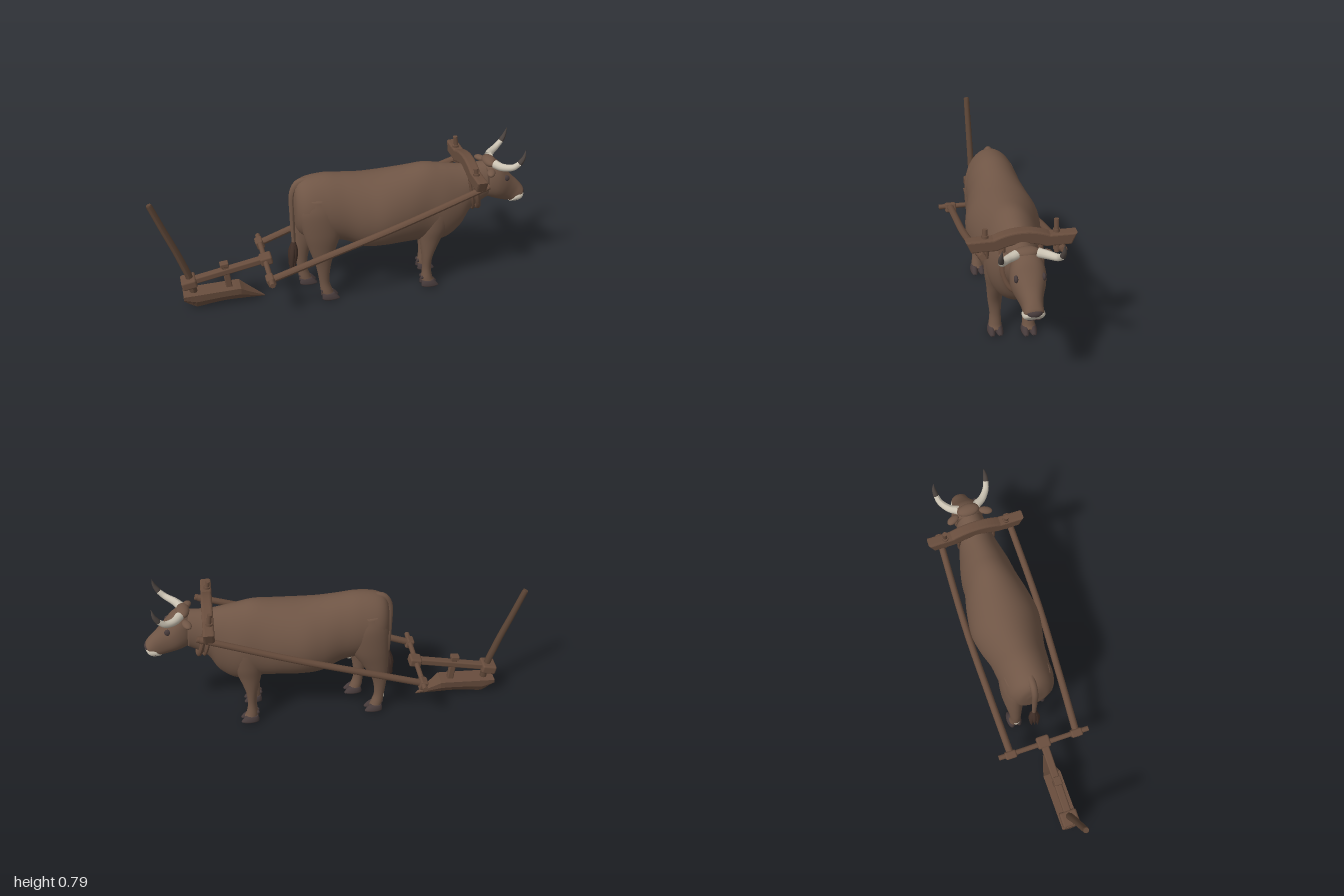
import * as THREE from 'three';
import { RoundedBoxGeometry } from 'three/addons/geometries/RoundedBoxGeometry.js';

const mat = (name, color, double) => {
  const m = new THREE.MeshStandardMaterial({ color });
  m.name = name;
  if (double) m.side = THREE.DoubleSide;
  return m;
};
const V = (x, y, z) => new THREE.Vector3(x, y, z);

// Smooth skin through oval sections [frontX, frontY, backX, backY, halfWidth, centreZ]; egg narrows the front side
function loft(sections, steps = 6, sides = 28, power = 1, egg = 0) {
  const a = new THREE.CatmullRomCurve3(sections.map(s => V(s[0], s[1], s[4])), false, 'catmullrom', 0.5);
  const b = new THREE.CatmullRomCurve3(sections.map(s => V(s[2], s[3], s[5] || 0)), false, 'catmullrom', 0.5);
  const rows = (sections.length - 1) * steps, pos = [], idx = [];
  const bulge = v => Math.sign(v) * Math.abs(v) ** power;
  for (let i = 0; i <= rows; i++) {
    const p = a.getPoint(i / rows), q = b.getPoint(i / rows);
    for (let j = 0; j < sides; j++) {
      const t = j / sides * Math.PI * 2, c = bulge(Math.cos(t)), s = bulge(Math.sin(t)) * (1 - egg * Math.cos(t));
      pos.push((p.x + q.x) / 2 + (p.x - q.x) / 2 * c, (p.y + q.y) / 2 + (p.y - q.y) / 2 * c, q.z + p.z * s);
    }
  }
  for (let i = 0; i < rows; i++) for (let j = 0; j < sides; j++) {
    const k = (j + 1) % sides, r = i * sides, n = r + sides;
    idx.push(r + j, r + k, n + j, r + k, n + k, n + j);
  }
  for (const [i, flip] of [[0, true], [rows, false]]) {
    const r = i * sides;
    for (let j = 1; j < sides - 1; j++) idx.push(r, r + (flip ? j + 1 : j), r + (flip ? j : j + 1));
  }
  const g = new THREE.BufferGeometry();
  g.setAttribute('position', new THREE.Float32BufferAttribute(pos, 3));
  g.setIndex(idx);
  g.computeVertexNormals();
  return g;
}

// Tube along points whose radius follows a function of 0..1
function taperTube(points, radius, segs = 24, sides = 12) {
  const curve = new THREE.CatmullRomCurve3(points.map(p => V(...p)));
  const g = new THREE.TubeGeometry(curve, segs, 1, sides);
  const p = g.attributes.position, v = V(0, 0, 0);
  for (let i = 0; i < p.count; i++) {
    const t = Math.floor(i / (sides + 1)) / segs, c = curve.getPointAt(t);
    v.fromBufferAttribute(p, i).sub(c).multiplyScalar(radius(t)).add(c);
    p.setXYZ(i, v.x, v.y, v.z);
  }
  g.computeVertexNormals();
  return g;
}

export function createModel() {
  const root = new THREE.Group();
  const hide = mat('brown hide', 0x705646), wood = mat('dark wood', 0x684d3d, true);
  const oldWood = mat('weathered wood', 0x5b4435, true), pale = mat('pale muzzle and horn', 0xcac2b2, true);
  const dark = mat('dark hoof and nose', 0x473b3b, true), tipMat = mat('horn tip', 0x4a423e, true);
  const hair = mat('tail hair', 0x412f27, true);

  const ox = new THREE.Group(), plough = new THREE.Group(), harness = new THREE.Group();
  ox.name = 'ox'; plough.name = 'plough'; harness.name = 'harness';
  root.add(ox, plough, harness);
  const add = (parent, name, geo, material) => {
    const m = new THREE.Mesh(geo, material);
    m.name = name;
    parent.add(m);
    return m;
  };
  const ball = (parent, name, material, p, s) => {
    const m = add(parent, name, new THREE.SphereGeometry(1, 18, 12), material);
    m.position.set(...p);
    m.scale.set(...s);
    return m;
  };
  const box = (parent, name, material, p, s, tilt = 0) => {
    const m = add(parent, name, new RoundedBoxGeometry(...s, 2, Math.min(...s) * 0.22), material);
    m.position.set(...p);
    m.rotation.z = tilt;
    return m;
  };
  const rod = (parent, name, material, a, b, r1, r2 = r1, sides = 12) => {
    const p = V(...a), q = V(...b), d = q.clone().sub(p);
    const m = add(parent, name, new THREE.CylinderGeometry(r2, r1, d.length(), sides), material);
    m.position.copy(p).add(q).multiplyScalar(0.5);
    m.quaternion.setFromUnitVectors(V(0, 1, 0), d.normalize());
    return m;
  };

  // Trunk and neck
  add(ox, 'body', loft([
    [-0.262, 0.60, -0.26, 0.52, 0.03], [-0.247, 0.665, -0.25, 0.42, 0.085], [-0.2, 0.70, -0.2, 0.37, 0.125],
    [-0.1, 0.713, -0.1, 0.345, 0.138], [0, 0.703, 0, 0.325, 0.148], [0.1, 0.692, 0.1, 0.28, 0.172],
    [0.2, 0.69, 0.2, 0.275, 0.187], [0.32, 0.70, 0.32, 0.275, 0.172], [0.43, 0.713, 0.43, 0.27, 0.147],
    [0.51, 0.702, 0.54, 0.26, 0.137], [0.58, 0.69, 0.63, 0.32, 0.116], [0.64, 0.68, 0.68, 0.41, 0.098],
    [0.70, 0.68, 0.73, 0.45, 0.084], [0.77, 0.685, 0.78, 0.48, 0.075],
  ], 6, 40, 1, 0.06), hide);

  // Head, muzzle and nose
  add(ox, 'head', loft([
    [0.755, 0.68, 0.745, 0.53, 0.05], [0.80, 0.70, 0.765, 0.495, 0.074], [0.845, 0.675, 0.80, 0.478, 0.083],
    [0.885, 0.63, 0.83, 0.466, 0.077], [0.925, 0.585, 0.865, 0.452, 0.06], [0.96, 0.55, 0.895, 0.442, 0.049],
    [0.982, 0.525, 0.925, 0.438, 0.047], [0.994, 0.505, 0.955, 0.44, 0.043], [0.995, 0.475, 0.98, 0.452, 0.015],
  ], 5, 32, 0.9), hide);
  add(ox, 'muzzle', loft([
    [0.955, 0.498, 0.915, 0.436, 0.049], [0.972, 0.502, 0.925, 0.434, 0.052], [0.988, 0.499, 0.95, 0.434, 0.051],
    [0.997, 0.486, 0.968, 0.441, 0.041], [0.997, 0.475, 0.982, 0.455, 0.012],
  ], 4, 28), pale);
  ball(ox, 'nose', dark, [0.979, 0.489, 0], [0.023, 0.022, 0.038]);
  add(ox, 'mouth', new THREE.TubeGeometry(new THREE.CatmullRomCurve3(
    [V(0.945, 0.458, 0.05), V(0.98, 0.452, 0.028), V(0.986, 0.456, 0), V(0.98, 0.452, -0.028), V(0.945, 0.458, -0.05)]), 20, 0.002, 6), dark);
  ball(ox, 'poll', hide, [0.79, 0.685, 0], [0.035, 0.025, 0.06]);

  for (const s of [1, -1]) {
    // Eyes, ears and horns
    ball(ox, 'eye', dark, [0.872, 0.602, s * 0.063], [0.017, 0.018, 0.01]);
    const ear = ball(ox, 'ear', hide, [0.772, 0.66, s * 0.09], [0.022, 0.015, 0.036]);
    ear.rotation.set(s * 0.1, s * -0.4, 0);
    add(ox, 'hornBase', taperTube([[0.805, 0.687, s * 0.05], [0.83, 0.686, s * 0.09], [0.875, 0.697, s * 0.126], [0.905, 0.722, s * 0.137]],
      t => 0.023 - 0.009 * t), pale);
    add(ox, 'hornTip', taperTube([[0.905, 0.722, s * 0.137], [0.923, 0.755, s * 0.14], [0.933, 0.797, s * 0.137]],
      t => 0.0005 + 0.0135 * (1 - t ** 1.6)), tipMat);

    // Legs, staggered in a slow walk
    const hindShift = s > 0 ? 0.088 : 0, foreShift = s > 0 ? -0.012 : 0.015;
    const leg = (name, shift, rows) => add(ox, name, loft(rows.map(([y, f, b, w, z]) => {
      const d = shift * Math.min(1, Math.max(0, (0.5 - y) / 0.3));
      return [f + d, y, b + d, y, w, s * z];
    }), 6, 24), hide);
    leg('hindLeg', hindShift, [[0.62, -0.06, -0.22, 0.04, 0.075], [0.54, -0.02, -0.245, 0.058, 0.08], [0.42, -0.05, -0.25, 0.056, 0.085],
      [0.32, -0.11, -0.25, 0.044, 0.086], [0.22, -0.165, -0.247, 0.031, 0.085], [0.12, -0.18, -0.235, 0.025, 0.083],
      [0.06, -0.165, -0.228, 0.03, 0.083], [0.035, -0.155, -0.22, 0.032, 0.083]]);
    leg('foreLeg', foreShift, [[0.56, 0.53, 0.43, 0.035, 0.085], [0.48, 0.57, 0.40, 0.055, 0.085], [0.38, 0.555, 0.40, 0.055, 0.085],
      [0.30, 0.525, 0.41, 0.045, 0.084], [0.2, 0.49, 0.428, 0.036, 0.084], [0.12, 0.483, 0.435, 0.029, 0.082],
      [0.06, 0.493, 0.432, 0.032, 0.083], [0.035, 0.505, 0.435, 0.034, 0.084]]);
    for (const [x, name] of [[-0.222 + hindShift, 'hindHoof'], [0.43 + foreShift, 'foreHoof']]) {
      for (const c of [-1, 1]) {
        add(ox, name, loft([[x + 0.066, 0.046, x + 0.004, 0.046, 0.016, s * 0.084 + c * 0.017],
          [x + 0.082, 0.03, x - 0.001, 0.03, 0.02, s * 0.084 + c * 0.019],
          [x + 0.096, 0.012, x - 0.002, 0.012, 0.021, s * 0.084 + c * 0.02]], 3, 16), dark);
        ball(ox, 'dewClaw', dark, [x + 0.003, 0.062, s * 0.084 + c * 0.012], [0.009, 0.011, 0.008]);
      }
    }
  }

  // Pale hind sock patch, belly sheath and tail
  ball(ox, 'sockPatch', pale, [-0.223, 0.10, -0.083], [0.012, 0.026, 0.017]);
  ball(ox, 'sheath', pale, [-0.055, 0.325, 0], [0.017, 0.03, 0.014]);
  add(ox, 'tail', taperTube([[-0.19, 0.685, 0], [-0.232, 0.678, 0], [-0.262, 0.63, 0], [-0.268, 0.5, 0], [-0.264, 0.32, 0]],
    t => 0.02 - 0.01 * t), hide);
  for (let i = 0; i < 9; i++) {
    const a = i * 2.4, r = i ? 0.014 : 0, dx = r * Math.cos(a), dz = r * Math.sin(a);
    add(ox, 'tailTuft', taperTube([[-0.264, 0.34, 0], [-0.268 + dx, 0.27, dz * 1.2], [-0.273 + dx, 0.21, dz * 1.4],
      [-0.276 + dx * 1.2, 0.14 + 0.01 * (i % 5), dz * 1.5]], t => 0.001 + 0.012 * Math.sin(Math.PI * (0.15 + 0.85 * t)), 12, 7), hair);
  }

  // Yoke: arched beam across the neck
  const y = new THREE.Shape();
  y.moveTo(-0.248, 0.692);
  y.lineTo(-0.13, 0.692);
  y.quadraticCurveTo(0, 0.752, 0.13, 0.692);
  y.lineTo(0.248, 0.692);
  y.lineTo(0.228, 0.648);
  y.lineTo(0.115, 0.648);
  y.quadraticCurveTo(0, 0.70, -0.115, 0.648);
  y.lineTo(-0.228, 0.648);
  const yoke = new THREE.ExtrudeGeometry(y, { depth: 0.032, bevelSize: 0.009, bevelThickness: 0.012, bevelSegments: 3, curveSegments: 16 });
  yoke.rotateY(-Math.PI / 2).translate(0.684, 0, 0);
  add(harness, 'yoke', yoke, wood);

  // Neck bow and thinner rope behind it
  for (const [dx, r, name] of [[0, 0.013, 'neckBow'], [-0.028, 0.008, 'neckRope']]) {
    const pts = [[0.675, 0.68, 0.085], [0.69, 0.60, 0.091], [0.71, 0.51, 0.086], [0.727, 0.45, 0.055], [0.733, 0.428, 0]];
    const all = pts.concat(pts.slice(0, 4).reverse().map(p => [p[0], p[1], -p[2]]));
    add(harness, name, taperTube(all.map(p => [p[0] + dx, p[1] - (dx ? 0.004 : 0), p[2] * (dx ? 1.06 : 1)]), () => r, 48, 10), wood);
  }

  for (const s of [1, -1]) {
    // Shafts with pins and end blocks
    add(harness, 'shaft', taperTube([[-0.44, 0.225, s * 0.183], [-0.1, 0.347, s * 0.195], [0.25, 0.47, s * 0.203], [0.72, 0.635, s * 0.188]],
      t => 0.019 - 0.002 * t, 30, 10), wood);
    rod(harness, 'shaftEnd', wood, [0.70, 0.628, s * 0.188], [0.728, 0.638, s * 0.188], 0.019, 0.015);
    rod(harness, 'yokePin', wood, [0.68, 0.60, s * 0.166], [0.655, s > 0 ? 0.74 : 0.762, s * 0.166], 0.012);
    rod(harness, 'pinCollar', wood, [0.674, 0.612, s * 0.168], [0.668, 0.645, s * 0.168], 0.019);
    rod(harness, 'pinHead', wood, [0.662, 0.695, s * 0.166], [0.66, 0.712, s * 0.166], 0.017);
    box(harness, 'shaftBlock', wood, [-0.42, 0.232, s * 0.184], [0.042, 0.052, 0.062], 0.34);
  }

  // Cross bar joining shafts to plough beam
  rod(harness, 'crossBar', wood, [-0.42, 0.24, -0.25], [-0.42, 0.24, 0.25], 0.014);
  box(harness, 'crossBarBlock', wood, [-0.415, 0.245, 0], [0.065, 0.048, 0.07], 0.2);

  // Plough beam, rear clamp and strut
  box(plough, 'beam', wood, [-0.625, 0.204, 0], [0.48, 0.036, 0.04], 0.2);
  box(plough, 'beamClamp', wood, [-0.825, 0.163, 0], [0.08, 0.05, 0.092], 0.2);
  box(plough, 'strut', wood, [-0.625, 0.172, 0], [0.034, 0.16, 0.03], 0.12);
  box(plough, 'strutHead', wood, [-0.636, 0.243, 0], [0.046, 0.024, 0.04], 0.12);

  // Curved handle
  add(plough, 'handle', taperTube([[-0.802, 0.08, 0], [-0.818, 0.18, 0], [-0.85, 0.28, 0], [-0.88, 0.365, 0], [-0.925, 0.48, 0], [-0.985, 0.64, 0]],
    t => 0.02 - 0.004 * t, 24, 8), oldWood);
  rod(plough, 'handleEnd', oldWood, [-0.982, 0.632, 0], [-0.987, 0.645, 0], 0.016, 0.013, 8);

  // Keel-shaped share tapering to a point
  const keel = new THREE.Shape([[-0.048, 1], [-0.044, 0.55], [-0.02, 0.1], [0, 0], [0.02, 0.1], [0.044, 0.55], [0.048, 1]]
    .map(p => new THREE.Vector2(...p)));
  const share = new THREE.ExtrudeGeometry(keel, { depth: 0.43, steps: 20, bevelEnabled: false });
  share.rotateY(Math.PI / 2);
  const sp = share.attributes.position, mix = THREE.MathUtils.lerp, clamp = THREE.MathUtils.clamp;
  for (let i = 0; i < sp.count; i++) {
    const x = sp.getX(i), nose = clamp((x - 0.3) / 0.13, 0, 1), heel = clamp(1 - x / 0.06, 0, 1);
    const arch = 0.02 * Math.sin(Math.PI * clamp((x - 0.08) / 0.35, 0, 1));
    const top = mix(0.097 + 0.04 * x, 0.018, nose ** 0.9), low = mix(mix(0.003, 0.05, heel), 0.012, nose) + arch;
    sp.setXYZ(i, x - 0.86, mix(Math.min(low, top), top, sp.getY(i)), sp.getZ(i) * mix(1, 0.06, nose));
  }
  share.computeVertexNormals();
  add(plough, 'share', share, wood);
  return root;
}
